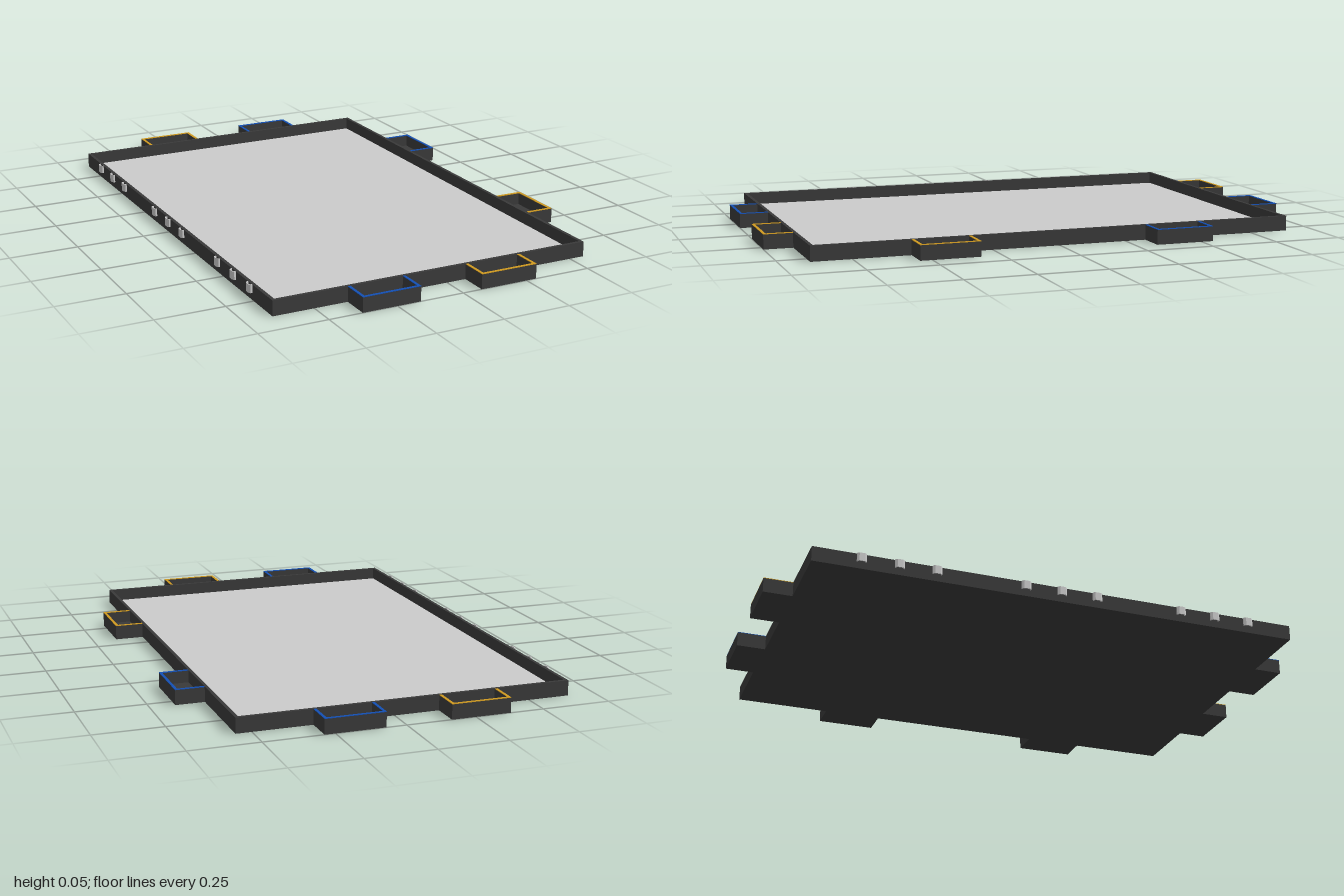
import * as THREE from 'three';

const HEIGHT = 0.055, FLOOR = 0.01;
const X0 = -0.65, X1 = 0.556, Z = 0.895; // tray outline

const paint = (color) => new THREE.MeshStandardMaterial({ color, flatShading: true });

// Slab whose outline is drawn in x/z, standing between y0 and y1
function slab(name, points, y0, y1, material, holePoints) {
  const toVec = ([x, z]) => new THREE.Vector2(x, z);
  const shape = new THREE.Shape(points.map(toVec));
  if (holePoints) shape.holes.push(new THREE.Path(holePoints.map(toVec)));
  const geo = new THREE.ExtrudeGeometry(shape, { depth: y1 - y0, bevelEnabled: false });
  geo.rotateX(Math.PI / 2).translate(0, y1, 0);
  const mesh = new THREE.Mesh(geo, material);
  mesh.name = name;
  return mesh;
}

const rect = (x0, x1, z0, z1) => [[x0, z0], [x1, z0], [x1, z1], [x0, z1]];

export function createModel() {
  const model = new THREE.Group();
  model.name = 'tray';
  const dark = paint(0x3a3a3a), grey = paint(0xcccccc);
  const blue = paint(0x1450b4), yellow = paint(0xd09a20);

  // Main tray: base, raised rim and inlaid surface
  const rim = 0.012;
  const outer = rect(X0, X1, -Z, Z);
  const inner = rect(X0 + rim, X1 - rim, -Z + rim, Z - rim);
  model.add(slab('base', outer, 0, FLOOR - 0.002, dark));
  model.add(slab('rim', outer, FLOOR - 0.002, HEIGHT, dark, inner));
  model.add(slab('surface', inner, FLOOR - 0.002, FLOOR, grey));

  // Side pocket: dark open box with a coloured lip, reaching outward along local +z
  function addPocket(x, z, turn, lipMaterial) {
    const w = 0.108, d = 0.105, t = 0.01;
    const wall = [[-w, 0], [-w + t, 0], [-w + t, d - t], [w - t, d - t], [w - t, 0], [w, 0], [w, d], [-w, d]];
    const pocket = new THREE.Group();
    pocket.name = 'pocket';
    pocket.add(
      slab('pocketFloor', rect(-w, w, 0, d), 0, FLOOR, dark),
      slab('pocketWall', wall, FLOOR, HEIGHT - 0.002, dark),
      slab('pocketLip', wall, HEIGHT - 0.002, HEIGHT, lipMaterial)
    );
    pocket.position.set(x, 0, z);
    pocket.rotation.y = turn;
    model.add(pocket);
  }
  addPocket(-0.27, Z, 0, blue);
  addPocket(0.18, Z, 0, yellow);
  addPocket(-0.27, -Z, Math.PI, yellow);
  addPocket(0.18, -Z, Math.PI, blue);
  addPocket(X1, -0.435, Math.PI / 2, blue);
  addPocket(X1, 0.435, Math.PI / 2, yellow);

  // Small clips in three groups of three along the -x edge
  const clip = [[0, -0.017], [-0.006, -0.017], [-0.011, -0.01], [-0.011, 0.01], [-0.006, 0.017], [0, 0.017],
    [0, 0.013], [-0.004, 0.013], [-0.008, 0.008], [-0.008, -0.008], [-0.004, -0.013], [0, -0.013]];
  for (const group of [-0.59, 0, 0.59]) {
    for (const step of [-0.133, 0, 0.133]) {
      const mesh = slab('clip', clip, 0.025, HEIGHT, grey);
      mesh.position.set(X0, 0, group + step);
      model.add(mesh);
    }
  }
  return model;
}
